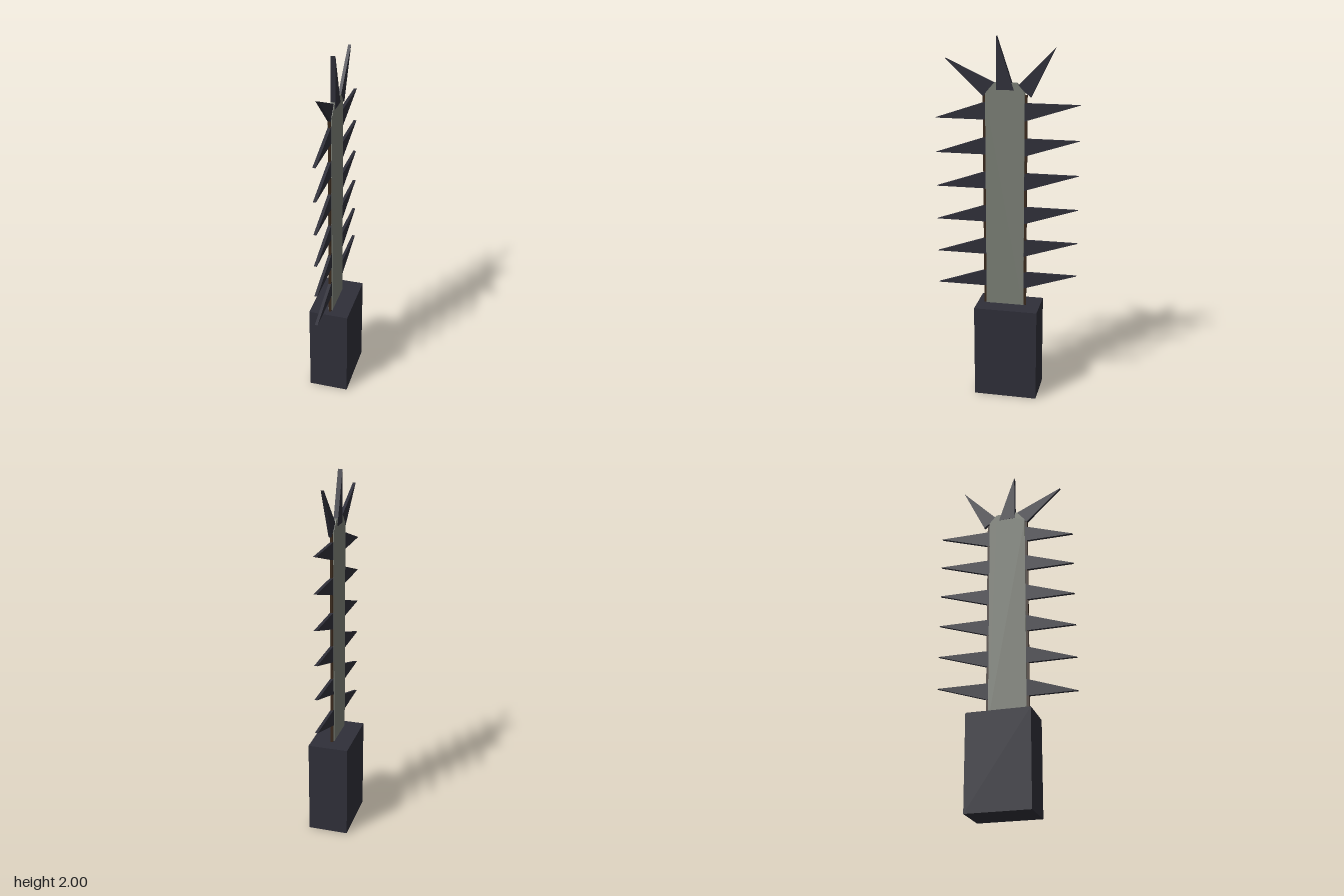
import * as THREE from 'three';

const steel = new THREE.MeshStandardMaterial({ color: 0x7a7e75 });
steel.name = 'grey steel';
const dark = new THREE.MeshStandardMaterial({ color: 0x2f2f39 });
dark.name = 'dark metal';
const rust = new THREE.MeshStandardMaterial({ color: 0x3a291c });
rust.name = 'rusty brown';

// Flat plate from a [z, y] outline, centred on x = 0
function plate(name, points, thickness, material) {
  const shape = new THREE.Shape(points.map(([z, y]) => new THREE.Vector2(-z, y)));
  const geometry = new THREE.ExtrudeGeometry(shape, { depth: thickness, bevelEnabled: false });
  geometry.translate(0, 0, -thickness / 2);
  geometry.rotateY(Math.PI / 2);
  const mesh = new THREE.Mesh(geometry, material);
  mesh.name = name;
  return mesh;
}

export function createModel() {
  const model = new THREE.Group();
  model.name = 'spikedSaw';

  // Motor housing
  const housing = new THREE.Mesh(new THREE.BoxGeometry(0.22, 0.525, 0.35), dark);
  housing.name = 'housing';
  housing.position.set(0, 0.2625, -0.013);
  model.add(housing);

  // Guide bar with clipped top corners
  model.add(plate('guideBar', [
    [0.113, 0.5], [0.113, 1.705], [0.065, 1.762], [-0.055, 1.762], [-0.097, 1.715], [-0.097, 0.5],
  ], 0.022, steel));

  // Chain running along both edges of the bar
  model.add(plate('frontChain', [[0.127, 0.5], [0.127, 1.7], [0.1, 1.7], [0.1, 0.5]], 0.013, rust));
  model.add(plate('backChain', [[-0.085, 0.5], [-0.085, 1.7], [-0.11, 1.7], [-0.11, 0.5]], 0.013, rust));

  // Teeth: front ones point down, back ones point up
  const teeth = new THREE.Group();
  teeth.name = 'teeth';
  for (let i = 0; i < 6; i++) {
    const y = 0.625 + i * 0.188;
    teeth.add(plate('frontTooth', [[0.388, y], [0.105, y + 0.097], [0.105, y]], 0.016, dark));
    teeth.add(plate('backTooth', [[-0.388, y + 0.093], [-0.09, y + 0.093], [-0.09, y - 0.004]], 0.016, dark));
  }
  model.add(teeth);

  // Three spikes fanned around the tip; the middle one straddles the bar
  const crown = new THREE.Group();
  crown.name = 'crownSpikes';
  crown.add(plate('frontSpike', [[0.325, 1.88], [0.06, 1.757], [0.124, 1.688]], 0.016, dark));
  crown.add(plate('middleSpike', [[0.052, 2.0], [-0.04, 1.725], [0.055, 1.725]], 0.024, dark));
  crown.add(plate('backSpike', [[-0.257, 1.95], [-0.13, 1.69], [-0.06, 1.747]], 0.016, dark));
  model.add(crown);

  return model;
}
